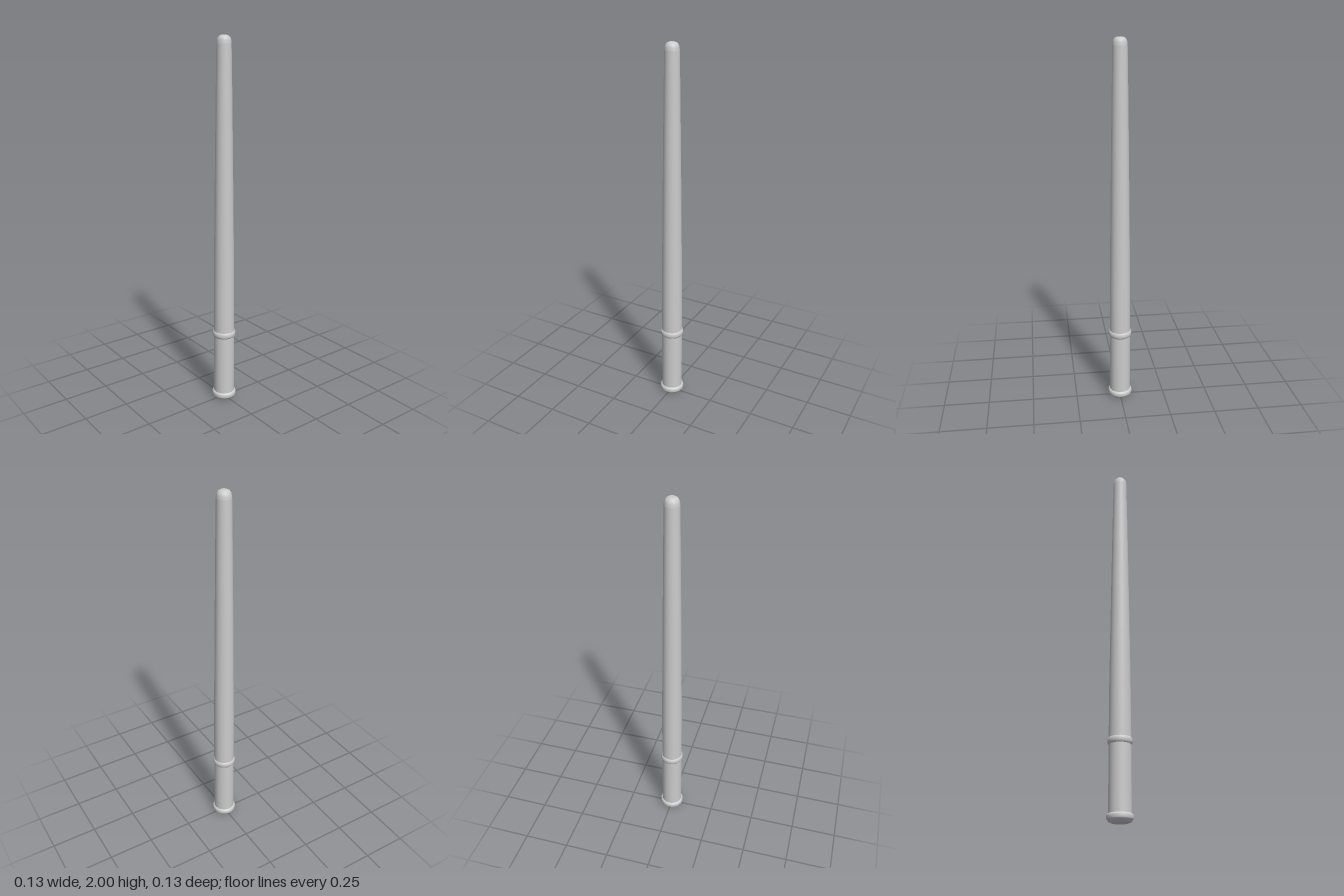
import * as THREE from 'three';

const material = new THREE.MeshStandardMaterial({ color: 0xcccccc });

// Turned part from [radius, height] pairs listed bottom to top
function turned(name, profile) {
  const points = profile.map(([r, y]) => new THREE.Vector2(r, y));
  const mesh = new THREE.Mesh(new THREE.LatheGeometry(points, 32), material);
  mesh.name = name;
  return mesh;
}

// Rounded bead profile bulging from radius r to r + bulge
function bead(r, bulge, y, halfHeight, steps = 8) {
  return Array.from({ length: steps + 1 }, (_, i) => {
    const a = -Math.PI / 2 + (Math.PI * i) / steps;
    return [r + bulge * Math.cos(a), y + halfHeight * Math.sin(a)];
  });
}

export function createModel() {
  const group = new THREE.Group();
  group.name = 'taperedBaton';

  group.add(
    // Pommel: flat underside, chamfer and rounded rim
    turned('pommelBase', [[0, 0], [0.045, 0]]),
    turned('pommelChamfer', [[0.045, 0], [0.056, 0.005], [0.063, 0.014]]),
    turned('pommelRim', [[0.063, 0.014], [0.067, 0.018], [0.067, 0.032], [0.064, 0.039], [0.057, 0.043]]),

    // Handle and the ring that ends it
    turned('handle', [[0.057, 0.04], [0.057, 0.4]]),
    turned('collarRing', bead(0.055, 0.009, 0.396, 0.018)),

    // Long shaft with a slight swell in its taper
    turned('shaft', [[0.057, 0.4], [0.0555, 0.7], [0.052, 1.0], [0.0475, 1.35], [0.0425, 1.7], [0.038, 1.96]]),

    // Rounded tip with a small flat end
    turned('tip', [[0.038, 1.96], [0.0365, 1.975], [0.033, 1.986], [0.026, 1.995], [0.015, 2]]),
    turned('tipEnd', [[0.015, 2], [0, 2]])
  );
  return group;
}
